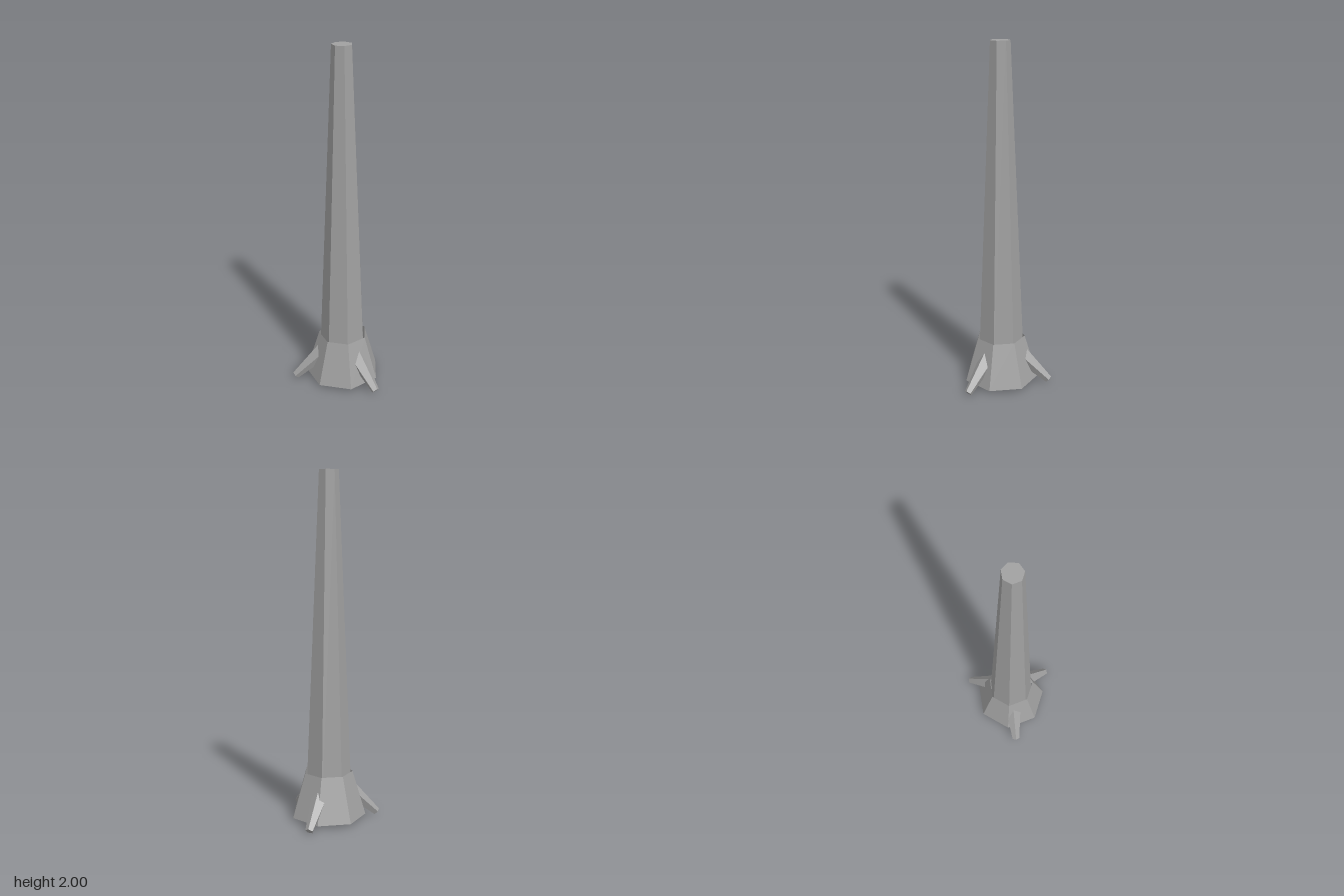
import * as THREE from 'three';

export function createModel() {
  const model = new THREE.Group();
  const grey = new THREE.MeshStandardMaterial({
    color: 0xa0a0a0, flatShading: true, side: THREE.DoubleSide,
  });
  grey.name = 'bark grey';

  // everything is built around the trunk axis, then shifted to centre the whole tree
  const tree = new THREE.Group();
  tree.name = 'tree';
  tree.position.set(-0.0185, 0, 0.046);
  model.add(tree);

  const add = (name, geometry, parent = tree) => {
    const mesh = new THREE.Mesh(geometry, grey);
    mesh.name = name;
    parent.add(mesh);
    return mesh;
  };

  // open seven-sided tapered tube with a corner on +x
  const tube = (rTop, rBottom, y0, y1) =>
    new THREE.CylinderGeometry(rTop, rBottom, y1 - y0, 7, 1, true, Math.PI / 2)
      .translate(0, (y0 + y1) / 2, 0);

  add('trunk', tube(0.057, 0.1415, 0.02, 2));
  add('trunkTop', new THREE.CircleGeometry(0.057, 7).rotateX(-Math.PI / 2).translate(0, 2, 0));
  add('baseFlare', tube(0.1425, 0.2195, 0.02, 0.28));

  // three five-sided roots sloping out and down, ridge upward
  const slope = THREE.MathUtils.degToRad(42);
  const rootGeometry = new THREE.CylinderGeometry(0.023, 0.06, 0.3, 5, 1, false, -Math.PI / 2)
    .rotateZ(-(Math.PI / 2 + slope))
    .translate(0.1785, 0.115, 0);
  [23, 143, 263].forEach((angle, i) => {
    const root = add('root' + (i + 1), rootGeometry);
    root.rotation.y = -THREE.MathUtils.degToRad(angle);
  });

  return model;
}
